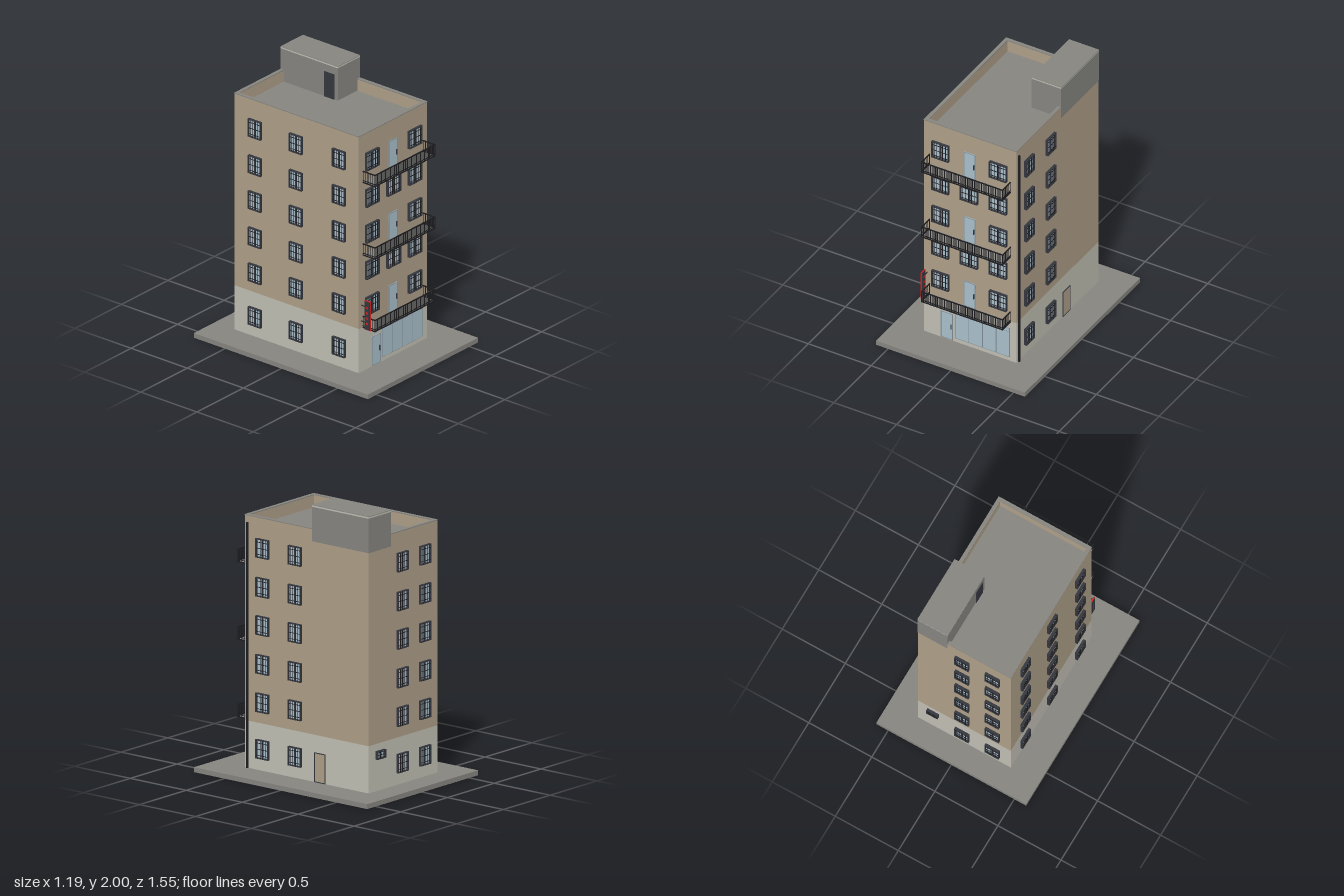
import * as THREE from 'three';
import { mergeGeometries } from 'three/addons/utils/BufferGeometryUtils.js';

const colour = (name, color) => {
  const m = new THREE.MeshStandardMaterial({ color });
  m.name = name;
  return m;
};

// Box geometry given by its minimum and maximum along each axis
const span = (x0, x1, y0, y1, z0, z1) =>
  new THREE.BoxGeometry(x1 - x0, y1 - y0, z1 - z0)
    .translate((x0 + x1) / 2, (y0 + y1) / 2, (z0 + z1) / 2);

// Rectangular rim around w x h, centred on the origin, standing on z = 0
const rim = (w, h, t, d) => [
  span(-w / 2, w / 2, h / 2 - t, h / 2, 0, d),
  span(-w / 2, w / 2, -h / 2, -h / 2 + t, 0, d),
  span(-w / 2, -w / 2 + t, -h / 2 + t, h / 2 - t, 0, d),
  span(w / 2 - t, w / 2, -h / 2 + t, h / 2 - t, 0, d),
];

export function createModel() {
  const wall = colour('tan plaster', 0xae9f88);
  const base = colour('pale stone', 0xc1bfb3);
  const concrete = colour('grey concrete', 0x868580);
  const glass = colour('blue glass', 0xa9bfcb);
  const frame = colour('dark window frame', 0x35373f);
  const iron = colour('black iron', 0x1d1d20);
  const pale = colour('pale door frame', 0x8797a0);
  const red = colour('sign red', 0xd0201c);

  const model = new THREE.Group();
  model.name = 'apartmentBuilding';
  const add = (name, geo, mat, parent = model) => {
    const mesh = new THREE.Mesh(Array.isArray(geo) ? mergeGeometries(geo) : geo, mat);
    mesh.name = name;
    parent.add(mesh);
    return mesh;
  };

  // Building shell
  const X0 = -0.37, X1 = 0.365, Z0 = -0.6, Z1 = 0.505, T = 0.025;
  const ROOF = 1.74, TOP = 1.825;
  add('groundSlab', span(-0.595, 0.592, 0, 0.035, -0.777, 0.773), concrete);
  add('groundFloor', span(X0, X1, 0.035, 0.37, Z0, Z1), base);
  add('upperFloors', span(X0, X1, 0.37, ROOF - 0.005, Z0, Z1), wall);
  add('roofDeck', span(X0 + 0.001, X1 - 0.001, ROOF - 0.005, ROOF, Z0 + 0.001, Z1 - 0.001), concrete);
  const ring = (y0, y1, e) => [
    span(X0 - e, X1 + e, y0, y1, Z1 - T, Z1 + e),
    span(X0 - e, X1 + e, y0, y1, Z0 - e, Z0 + T),
    span(X0 - e, X0 + T, y0, y1, Z0 + T, Z1 - T),
    span(X1 - T, X1 + e, y0, y1, Z0 + T, Z1 - T),
  ];
  add('parapet', ring(ROOF - 0.005, TOP, 0), wall);
  add('parapetCap', ring(TOP, TOP + 0.006, 0.002), concrete);

  // Stair house on the roof
  add('stairHouse', span(0.13, X1 + 0.003, ROOF, 1.985, Z0 - 0.003, -0.095), concrete);
  add('stairHouseEdge', span(0.13, X1 + 0.003, 1.985, 1.996, Z0 - 0.003, -0.095), base);
  add('stairHouseRoof', span(0.129, X1 + 0.004, 1.996, 2, Z0 - 0.004, -0.094), concrete);
  add('roofDoor', span(0.125, 0.13, ROOF, 1.93, -0.215, -0.125), frame);

  // Barred window: glass, frame with mullion, iron grille
  const windowParts = (w, h, bars) => {
    const grille = [];
    for (let i = 1; i < bars; i++) {
      const x = -w / 2 + (w * i) / bars;
      grille.push(span(x - 0.0017, x + 0.0017, -h / 2, h / 2, 0.016, 0.02));
    }
    for (const f of [-0.32, 0, 0.32])
      grille.push(span(-w / 2, w / 2, f * h - 0.0017, f * h + 0.0017, 0.015, 0.019));
    return {
      glass: span(-w / 2 + 0.003, w / 2 - 0.003, -h / 2 + 0.003, h / 2 - 0.003, 0, 0.004),
      frame: mergeGeometries([...rim(w, h, 0.006, 0.02),
        span(-0.007, 0.007, -h / 2, h / 2, 0, 0.009)]),
      grille: mergeGeometries(grille),
    };
  };
  const wide = windowParts(0.138, 0.135, 6);
  const narrow = windowParts(0.113, 0.135, 5);
  const small = windowParts(0.09, 0.06, 3);
  const addWindow = (name, p, x, y, z, turn) => {
    const g = new THREE.Group();
    g.name = name;
    add('pane', p.glass, glass, g);
    add('frame', p.frame, frame, g);
    add('grille', p.grille, iron, g);
    g.position.set(x, y, z);
    g.rotation.y = turn;
    model.add(g);
  };

  // Glazed door facing the front
  const addDoor = (name, x, y0, w, h) => {
    const g = new THREE.Group();
    g.name = name;
    add('doorGlass', span(-w / 2, w / 2, -h / 2, h / 2, 0, 0.003), glass, g);
    add('doorFrame', rim(w, h, 0.005, 0.006), pale, g);
    add('doorHandle', span(w / 2 - 0.014, w / 2 - 0.009, -0.02, 0.02, 0.003, 0.012), frame, g);
    g.position.set(x, y0 + h / 2, Z1);
    model.add(g);
  };

  // Windows on every storey
  const rows = [0.187, 0.517, 0.79, 1.065, 1.337, 1.613];
  rows.forEach((y, i) => {
    for (const z of [0.342, 0.052]) addWindow('leftWindow', narrow, X1, y, z, Math.PI / 2);
    for (const z of [0.335, -0.047, -0.412]) addWindow('rightWindow', narrow, X0, y, z, -Math.PI / 2);
    for (const x of [-0.228, 0.012]) addWindow('backWindow', narrow, x, y, Z0, Math.PI);
    if (i === 0) return;
    for (const x of [-0.235, 0.226]) addWindow('frontWindow', wide, x, y, Z1, 0);
    if (i % 2 === 0) addWindow('frontWindow', wide, -0.005, y, Z1, 0);
    else addDoor('balconyDoor', -0.004, y - 0.145, 0.092, 0.21);
  });
  addWindow('smallBackWindow', small, 0.245, 0.29, Z0, Math.PI);

  // Balconies with iron railings
  const bx0 = -0.328, bx1 = 0.322, bz = 0.616;
  const railing = [];
  for (const [a, b] of [[0, 0.007], [0.016, 0.02], [0.084, 0.092]]) {
    railing.push(span(bx0, bx1, a, b, bz - 0.006, bz));
    railing.push(span(bx0, bx0 + 0.006, a, b, Z1, bz - 0.006));
    railing.push(span(bx1 - 0.006, bx1, a, b, Z1, bz - 0.006));
  }
  const COUNT = 46;
  for (let i = 0; i <= COUNT; i++) {
    const x = bx0 + 0.003 + ((bx1 - bx0 - 0.006) * i) / COUNT;
    const r = i % 8 === 0 ? 0.003 : 0.002;
    railing.push(span(x - r, x + r, 0.005, 0.086, bz - 0.005, bz - 0.001));
  }
  for (const x of [bx0 + 0.003, bx1 - 0.003])
    for (let i = 0; i < 5; i++) {
      const z = Z1 + 0.004 + i * 0.021;
      railing.push(span(x - 0.002, x + 0.002, 0.005, 0.086, z - 0.0015, z + 0.0015));
    }
  const railGeo = mergeGeometries(railing);
  for (const y of [0.363, 0.913, 1.463]) {
    add('balconyRailing', railGeo, iron).position.y = y;
    add('balconyFloor', span(bx0 + 0.006, bx1 - 0.006, y + 0.001, y + 0.006, Z1, bz - 0.006), concrete);
  }

  // Shop front and entrance
  addDoor('entranceDoor', -0.187, 0.042, 0.096, 0.22);
  add('shopGlass', span(-0.118, 0.314, 0.068, 0.312, Z1, Z1 + 0.003), glass);
  const shopFrame = rim(0.432, 0.244, 0.003, 0.006).map(g => g.translate(0.098, 0.19, Z1));
  for (const x of [-0.01, 0.098, 0.206])
    shopFrame.push(span(x - 0.0015, x + 0.0015, 0.07, 0.31, Z1, Z1 + 0.006));
  shopFrame.push(span(-0.116, 0.312, 0.28, 0.283, Z1, Z1 + 0.005));
  add('shopFrame', shopFrame, pale);
  add('shopBoard', span(-0.27, 0.04, 0.323, 0.36, Z1, Z1 + 0.006), wall);
  add('shopBoardStripe', span(-0.17, -0.06, 0.335, 0.347, Z1 + 0.006, Z1 + 0.008), red);

  // Side service door
  add('serviceDoor', span(X1, X1 + 0.003, 0.037, 0.242, -0.212, -0.12), wall);
  add('serviceDoorFrame', rim(0.1, 0.21, 0.005, 0.007)
    .map(g => g.rotateY(Math.PI / 2).translate(X1, 0.141, -0.166)), frame);

  // Hanging sign with red rim and plain red squares
  add('signRim', span(-0.348, -0.338, 0.37, 0.59, 0.538, 0.59), red);
  add('signFace', span(-0.351, -0.335, 0.374, 0.586, 0.542, 0.586), frame);
  for (const y of [0.42, 0.46, 0.5, 0.54])
    add('signSquare', span(-0.3525, -0.3335, y - 0.008, y + 0.008, 0.557, 0.572), red);
  for (const y of [0.42, 0.54])
    add('signBracket', span(-0.345, -0.341, y, y + 0.005, Z1, 0.54), iron);

  // Drainpipe
  add('drainpipe', new THREE.CylinderGeometry(0.008, 0.008, 1.745, 10)
    .translate(X1 + 0.008, 0.907, 0.478), iron);

  return model;
}
